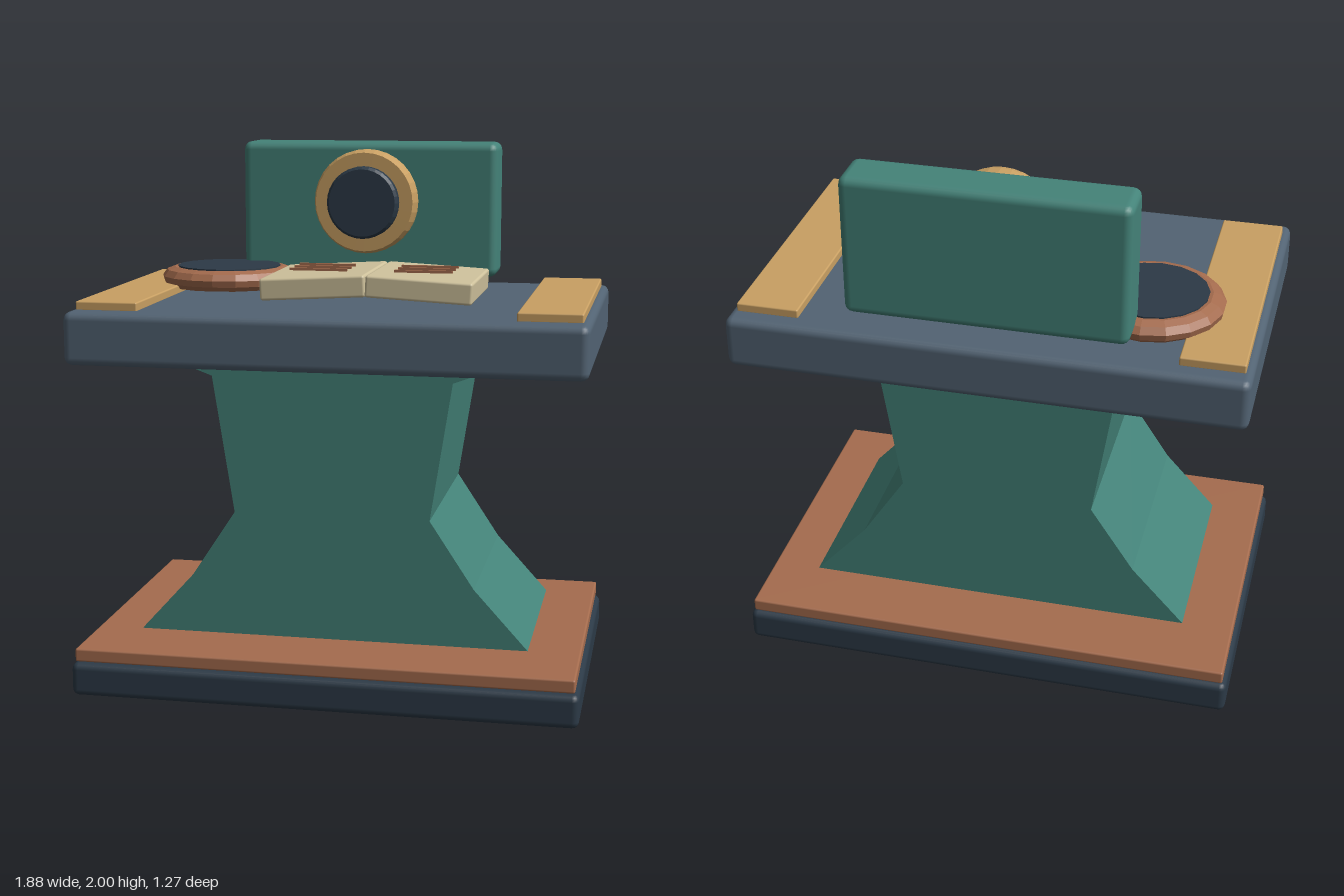
import * as THREE from 'three';
import { RoundedBoxGeometry } from 'three/addons/geometries/RoundedBoxGeometry.js';

function material(name, color) {
  const m = new THREE.MeshStandardMaterial({ color });
  m.name = name;
  return m;
}

export function createModel() {
  const teal = material('teal', 0x448379);
  const slate = material('slate', 0x526373);
  const navy = material('navy', 0x2c3a47);
  const copper = material('copper', 0xa56c4e);
  const gold = material('gold', 0xc9a063);
  const cream = material('cream', 0xcfc29c);

  const model = new THREE.Group();
  model.name = 'consoleDesk';

  function add(name, geometry, mat, x = 0, y = 0, z = 0, parent = model) {
    const mesh = new THREE.Mesh(geometry, mat);
    mesh.name = name;
    mesh.position.set(x, y, z);
    parent.add(mesh);
    return mesh;
  }
  const rounded = (w, h, d, r) => new RoundedBoxGeometry(w, h, d, 2, r);
  // Turned part with crisp facets between profile rings
  function turned(points, sides) {
    const g = new THREE.LatheGeometry(points.map(([r, y]) => new THREE.Vector2(r, y)), sides).toNonIndexed();
    g.computeVertexNormals();
    return g;
  }

  // Base plinth and its copper trim
  add('basePlinth', rounded(1.87, 0.125, 1.27, 0.025), navy, 0, 0.0625, 0);
  add('baseTrim', rounded(1.84, 0.05, 1.25, 0.008), copper, 0, 0.155, 0);

  // Waisted pedestal, mirrored half profile
  const half = [[0.73, 0.2], [0.53, 0.42], [0.365, 0.67], [0.445, 1.18], [0.62, 1.245]];
  const outline = [...half, ...half.map(([x, y]) => [-x, y]).reverse()];
  const pedestal = new THREE.ExtrudeGeometry(
    new THREE.Shape(outline.map(([x, y]) => new THREE.Vector2(x, y))),
    { depth: 0.79, bevelEnabled: false });
  add('pedestal', pedestal, teal, 0, 0, -0.395);

  // Desk top with a gold strip along each side
  add('deskTop', rounded(1.88, 0.195, 1.22, 0.03), slate, 0, 1.3325, 0);
  for (const side of [-1, 1]) {
    add(side < 0 ? 'rightStrip' : 'leftStrip', rounded(0.23, 0.035, 1.07, 0.006), gold, side * 0.798, 1.443, -0.004);
  }

  // Upright panel with a round lens
  add('uprightPanel', rounded(1.02, 0.525, 0.19, 0.032), teal, 0, 1.7375, -0.45);
  const lens = new THREE.Group();
  lens.name = 'lens';
  lens.position.set(0, 1.772, -0.36);
  lens.rotation.x = Math.PI / 2;
  model.add(lens);
  add('lensRing', turned([[0, 0], [0.195, 0], [0.203, 0.03], [0.203, 0.075], [0.192, 0.108], [0, 0.11]], 32), gold, 0, 0, 0, lens);
  add('lensGlass', turned([[0.14, 0.1], [0.14, 0.145], [0.13, 0.158], [0, 0.158]], 32), navy, 0, 0, 0, lens);

  // Round pad with a copper rim
  const pad = new THREE.Group();
  pad.name = 'roundPad';
  pad.position.set(-0.532, 1.443, -0.202);
  model.add(pad);
  add('padRim', turned([[0, 0], [0.235, 0], [0.257, 0.018], [0.263, 0.042], [0.245, 0.066], [0.215, 0.077], [0.19, 0.074]], 18), copper, 0, 0, 0, pad);
  add('padTop', turned([[0.202, 0.05], [0.202, 0.081], [0, 0.081]], 18), navy, 0, 0, 0, pad);

  // Open book: two tilted page blocks with ruled lines
  const book = new THREE.Group();
  book.name = 'openBook';
  book.position.set(0.115, 0, 0.0975);
  model.add(book);
  for (const side of [-1, 1]) {
    const page = add(side < 0 ? 'rightPage' : 'leftPage', rounded(0.39, 0.08, 0.505, 0.01), cream, side * 0.195, 1.505, 0, book);
    page.rotation.z = -side * 0.055;
    for (let i = 0; i < 3; i++) {
      add('pageLine', new THREE.BoxGeometry(0.215, 0.009, 0.012), copper, side * 0.195, 1.56, -0.038 + i * 0.084, book);
    }
  }

  return model;
}
